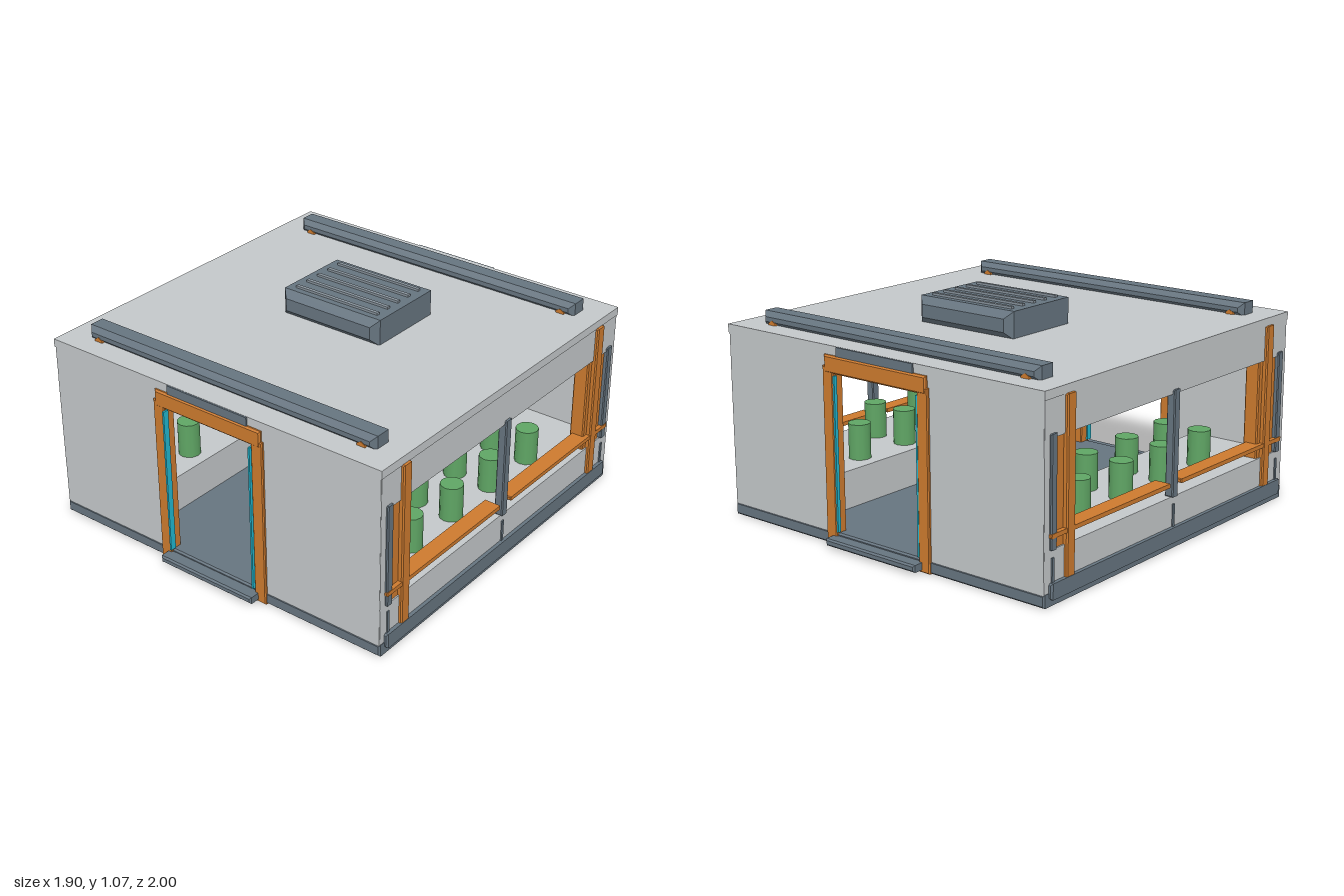
import * as THREE from 'three';

const mat = (name, color) => {
  const m = new THREE.MeshStandardMaterial({ color });
  m.name = name;
  return m;
};

export function createModel() {
  const model = new THREE.Group();
  model.name = 'growModule';
  const grey = mat('panelGrey', 0xc3c7c9);
  const slate = mat('slate', 0x66747f);
  const slat = mat('slatGrey', 0x87929b);
  const orange = mat('frameOrange', 0xcc7a2e);
  const green = mat('plantGreen', 0x5fa564);
  const cyan = mat('lightCyan', 0x22b8d0);

  const add = (name, geometry, material) => {
    const mesh = new THREE.Mesh(geometry, material);
    mesh.name = name;
    model.add(mesh);
    return mesh;
  };
  // Box given by its limits; a bevel above zero chamfers every edge
  const box = (name, material, x0, x1, y0, y1, z0, z1, bevel = 0) => {
    const w = x1 - x0, h = y1 - y0, d = z1 - z0;
    let g;
    if (bevel > 0) {
      const a = w / 2 - bevel, b = h / 2 - bevel;
      const s = new THREE.Shape([
        new THREE.Vector2(-a, -b), new THREE.Vector2(a, -b),
        new THREE.Vector2(a, b), new THREE.Vector2(-a, b),
      ]);
      g = new THREE.ExtrudeGeometry(s, {
        depth: d - 2 * bevel, bevelEnabled: true, bevelSegments: 1,
        bevelSize: bevel, bevelThickness: bevel,
      });
      g.translate(0, 0, bevel - d / 2);
    } else {
      g = new THREE.BoxGeometry(w, h, d);
    }
    const mesh = add(name, g, material);
    mesh.position.set((x0 + x1) / 2, (y0 + y1) / 2, (z0 + z1) / 2);
    return mesh;
  };
  // Box mirrored by sign: limits are distances from the centre plane
  const boxX = (s, name, m, a, b, ...rest) =>
    box(name, m, Math.min(s * a, s * b), Math.max(s * a, s * b), ...rest);
  const boxZ = (s, name, m, x0, x1, y0, y1, a, b, bevel) =>
    box(name, m, x0, x1, y0, y1, Math.min(s * a, s * b), Math.max(s * a, s * b), bevel);

  const H = 0.935;

  // Floor and roof
  box('floor', slate, -H, H, 0.005, 0.065, -H, H, 0.008);
  box('roof', grey, -H, H, 0.895, H, -H, H);

  // End walls with a doorway
  for (const s of [1, -1]) {
    for (const t of [1, -1]) {
      boxZ(s, 'endWall', grey, t > 0 ? 0.26 : -0.93, t > 0 ? 0.93 : -0.26, 0.06, 0.9, 0.89, 0.932);
    }
    boxZ(s, 'endWallHeader', grey, -0.26, 0.26, 0.82, 0.9, 0.89, 0.932);

    // Door frame, light strips, header and step
    for (const t of [1, -1]) {
      const [x0, x1] = t > 0 ? [0.25, 0.313] : [-0.313, -0.25];
      boxZ(s, 'doorJamb', orange, x0, x1, 0.005, 0.84, 0.88, 0.945, 0.005);
      const [c0, c1] = t > 0 ? [0.242, 0.251] : [-0.251, -0.242];
      boxZ(s, 'doorLight', cyan, c0, c1, 0.07, 0.8, 0.925, s > 0 ? 0.955 : 0.942);
    }
    boxZ(s, 'doorLintel', orange, -0.303, 0.303, 0.81, 0.892, 0.88, 0.947, 0.008);
    boxZ(s, 'doorHeader', slate, -0.227, 0.227, 0.892, 0.934, 0.92, 0.943);
    boxZ(s, 'doorStep', slate, -0.27, 0.27, 0.018, 0.052, 0.9, 0.998, 0.008);

    // Roof rail with orange pins
    boxZ(s, 'roofRail', slate, -0.818, 0.818, 0.925, 0.995, 0.71, 0.83, 0.024);
    for (const t of [1, -1]) {
      const pin = add('railPin', new THREE.CylinderGeometry(0.025, 0.025, 0.126, 6), orange);
      pin.rotation.x = Math.PI / 2;
      pin.position.set(t * 0.75, 0.932, s * 0.77);
    }
  }

  for (const s of [1, -1]) {
    // Side walls around the long window
    boxX(s, 'sideWallBottom', grey, 0.89, 0.932, 0.06, 0.25, -0.93, 0.93);
    boxX(s, 'sideWallTop', grey, 0.89, 0.932, 0.728, 0.9, -0.93, 0.93);
    boxX(s, 'sideBumper', slate, 0.9, 0.95, 0.035, 0.108, -0.9, 0.9, 0.008);

    // Planter bench
    boxX(s, 'planterBench', grey, 0.45, 0.9, 0.06, 0.25, -0.89, 0.89);

    for (const t of [1, -1]) {
      boxZ(t, 'sideWallEnd', grey, s > 0 ? 0.89 : -0.932, s > 0 ? 0.932 : -0.89, 0.25, 0.73, 0.865, 0.931);
      const span = (a, b) => (s > 0 ? [a, b] : [-b, -a]);
      // Corner post, outer strut, end mullion and split rail
      boxZ(t, 'cornerPost', orange, ...span(0.85, 0.925), 0.06, 0.9, 0.71, 0.858, 0.006);
      boxZ(t, 'outerStrut', orange, ...span(0.91, 0.948), 0.1, 0.897, 0.74, 0.797, 0.006);
      boxZ(t, 'endMullion', slate, ...span(0.9, 0.943), 0.25, 0.748, 0.857, 0.897, 0.005);
      boxZ(t, 'lowerRib', slate, ...span(0.92, 0.938), 0.1, 0.215, 0.87, 0.884);
      boxZ(t, 'windowRail', orange, ...span(0.865, 0.946), 0.303, 0.323, 0.042, 0.9, 0.004);
    }
    boxX(s, 'middleMullion', slate, 0.9, 0.943, 0.25, 0.748, -0.022, 0.022, 0.005);
    boxX(s, 'lowerRib', slate, 0.92, 0.938, 0.1, 0.215, -0.007, 0.007);

    // Two rows of plants
    for (const x of [0.56, 0.755]) {
      for (const z of [-0.47, -0.157, 0.157, 0.47]) {
        const plant = add('plant', new THREE.CylinderGeometry(0.055, 0.055, 0.18, 12), green);
        plant.position.set(s * x, 0.334, z);
      }
    }
  }

  // Roof vent with slats
  box('roofVent', slate, -0.278, 0.278, 0.93, 1.06, -0.36, 0.103, 0.034);
  for (let i = 0; i < 5; i++) {
    const z = -0.287 + i * 0.079;
    box('ventSlat', slat, -0.237, 0.237, 1.05, 1.071, z - 0.009, z + 0.009);
  }

  return model;
}
